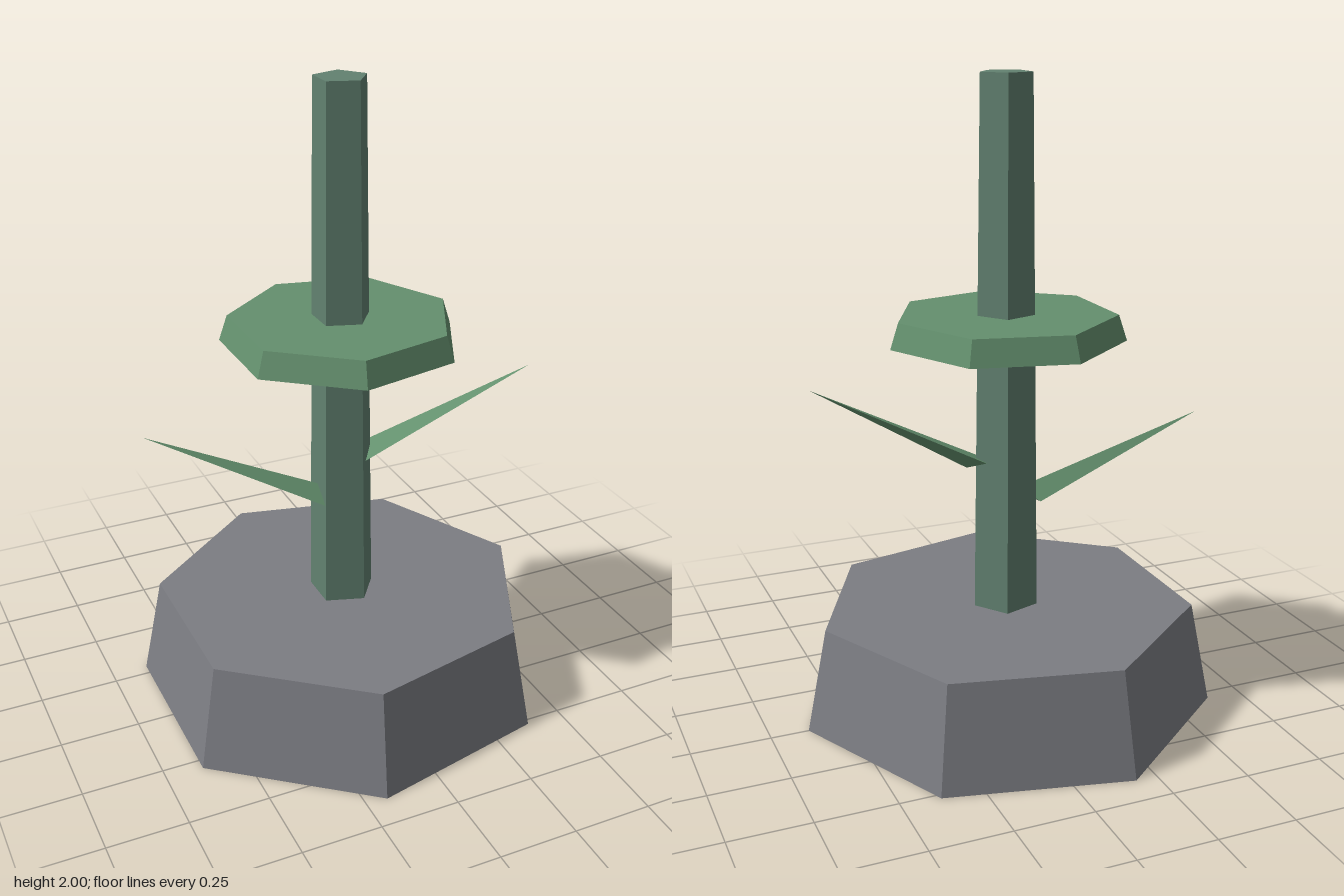
import * as THREE from 'three';
import { ConvexGeometry } from 'three/addons/geometries/ConvexGeometry.js';

const AXIS_X = -0.035; // shared vertical axis of stone, trunk and disc

function material(color) {
  return new THREE.MeshStandardMaterial({ color, flatShading: true, side: THREE.DoubleSide });
}

// Tapered prism with a top cap and an open underside, one corner pointing to +x
function taperedPrism(name, sides, bottomRadius, topRadius, bottomY, topY, mat) {
  const profile = [
    new THREE.Vector2(bottomRadius, bottomY),
    new THREE.Vector2(topRadius, topY),
    new THREE.Vector2(0, topY),
  ];
  const mesh = new THREE.Mesh(new THREE.LatheGeometry(profile, sides, Math.PI / 2), mat);
  mesh.name = name;
  mesh.position.x = AXIS_X;
  return mesh;
}

// Three-sided spike: a triangular root and a tip
function thorn(name, root, tip, mat) {
  const points = [...root, tip].map((p) => new THREE.Vector3(...p));
  const mesh = new THREE.Mesh(new ConvexGeometry(points), mat);
  mesh.name = name;
  return mesh;
}

export function createModel() {
  const group = new THREE.Group();
  group.name = 'thornyStem';

  const stone = material(0x7c7d83);
  const bark = material(0x628170);
  const leaf = material(0x64906e);

  group.add(
    taperedPrism('stoneBase', 7, 0.665, 0.6, 0, 0.33, stone),
    taperedPrism('trunk', 5, 0.105, 0.082, 0.33, 2, bark),
    taperedPrism('leafDisc', 7, 0.371, 0.345, 1.2, 1.28, leaf),
    thorn('leftThorn',
      [[0.018, 0.806, 0.06], [0.095, 0.8, 0], [0.045, 0.82, -0.042]],
      [0.555, 1.065, 0.13], leaf),
    thorn('rightThorn',
      [[-0.11, 0.672, 0.058], [-0.137, 0.672, -0.048], [-0.08, 0.71, 0]],
      [-0.635, 0.937, -0.132], leaf),
  );
  return group;
}
